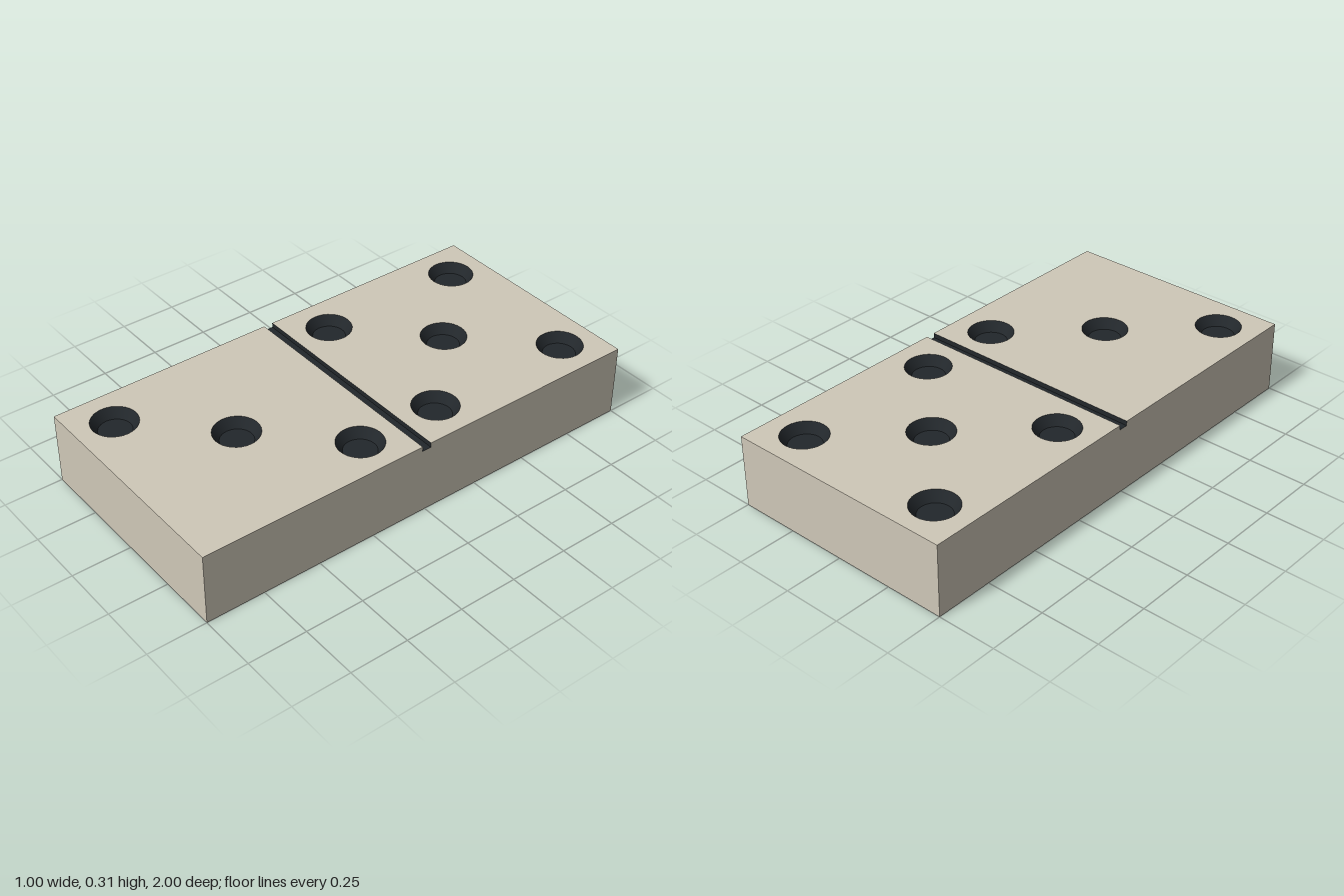
import * as THREE from 'three';
import { mergeGeometries, toCreasedNormals } from 'three/addons/utils/BufferGeometryUtils.js';

const W = 0.5, L = 1, H = 0.308;             // half width, half length, height
const GROOVE = 0.02, GROOVE_DEPTH = 0.02;    // half width and depth of the dividing line
const PIP_R = 0.095, PIP_FLOOR = 0.067, PIP_DEPTH = 0.04;

// Pip centres as [x, z]
const backPips = [[-0.333, -0.838], [0.333, -0.838], [0, -0.511], [-0.333, -0.184], [0.333, -0.184]];
const frontPips = [[0.333, 0.182], [0, 0.508], [-0.333, 0.835]];

// Top face of one half, with a round opening for every pip
function topFace(z0, z1, pips) {
  const shape = new THREE.Shape([[-W, -z1], [W, -z1], [W, -z0], [-W, -z0]].map(p => new THREE.Vector2(...p)));
  for (const [x, z] of pips) {
    shape.holes.push(new THREE.Path().absarc(x, -z, PIP_R, 0, Math.PI * 2, true));
  }
  return new THREE.ShapeGeometry(shape, 16).rotateX(-Math.PI / 2).translate(0, H, 0);
}

// Long side wall, notched where the groove runs out
function sideWall(side) {
  const y = H - GROOVE_DEPTH;
  const outline = [[-L, 0], [L, 0], [L, H], [GROOVE, H], [GROOVE, y], [-GROOVE, y], [-GROOVE, H], [-L, H]];
  const shape = new THREE.Shape(outline.map(p => new THREE.Vector2(...p)));
  return new THREE.ShapeGeometry(shape).rotateY(side * Math.PI / 2).translate(side * W, 0, 0);
}

export function createModel() {
  const model = new THREE.Group();
  model.name = 'dominoTile';
  const ivory = new THREE.MeshStandardMaterial({ color: 0xcfc8b8 });
  const black = new THREE.MeshStandardMaterial({ color: 0x22272b });

  const add = (name, geometry, material) => {
    const mesh = new THREE.Mesh(geometry, material);
    mesh.name = name;
    model.add(mesh);
    return mesh;
  };

  // Tile body: two tops, two long sides, two ends and the underside
  add('body', mergeGeometries([
    topFace(-L, -GROOVE, backPips),
    topFace(GROOVE, L, frontPips),
    sideWall(1),
    sideWall(-1),
    new THREE.PlaneGeometry(2 * W, H).translate(0, H / 2, L),
    new THREE.PlaneGeometry(2 * W, H).rotateY(Math.PI).translate(0, H / 2, -L),
    new THREE.PlaneGeometry(2 * W, 2 * L).rotateX(Math.PI / 2),
  ]), ivory);

  // Dividing groove: floor and two walls
  const wallY = H - GROOVE_DEPTH / 2;
  add('dividingGroove', mergeGeometries([
    new THREE.PlaneGeometry(2 * W, 2 * GROOVE).rotateX(-Math.PI / 2).translate(0, H - GROOVE_DEPTH, 0),
    new THREE.PlaneGeometry(2 * W, GROOVE_DEPTH).translate(0, wallY, -GROOVE),
    new THREE.PlaneGeometry(2 * W, GROOVE_DEPTH).rotateY(Math.PI).translate(0, wallY, GROOVE),
  ]), black);

  // Sunken pips with sloping walls and a flat floor
  const profile = [[PIP_R, 0], [PIP_FLOOR, -PIP_DEPTH], [0, -PIP_DEPTH]].map(p => new THREE.Vector2(...p));
  const dish = toCreasedNormals(new THREE.LatheGeometry(profile, 32), 0.5);
  for (const [x, z] of [...backPips, ...frontPips]) {
    add('pip', dish, black).position.set(x, H, z);
  }

  return model;
}
